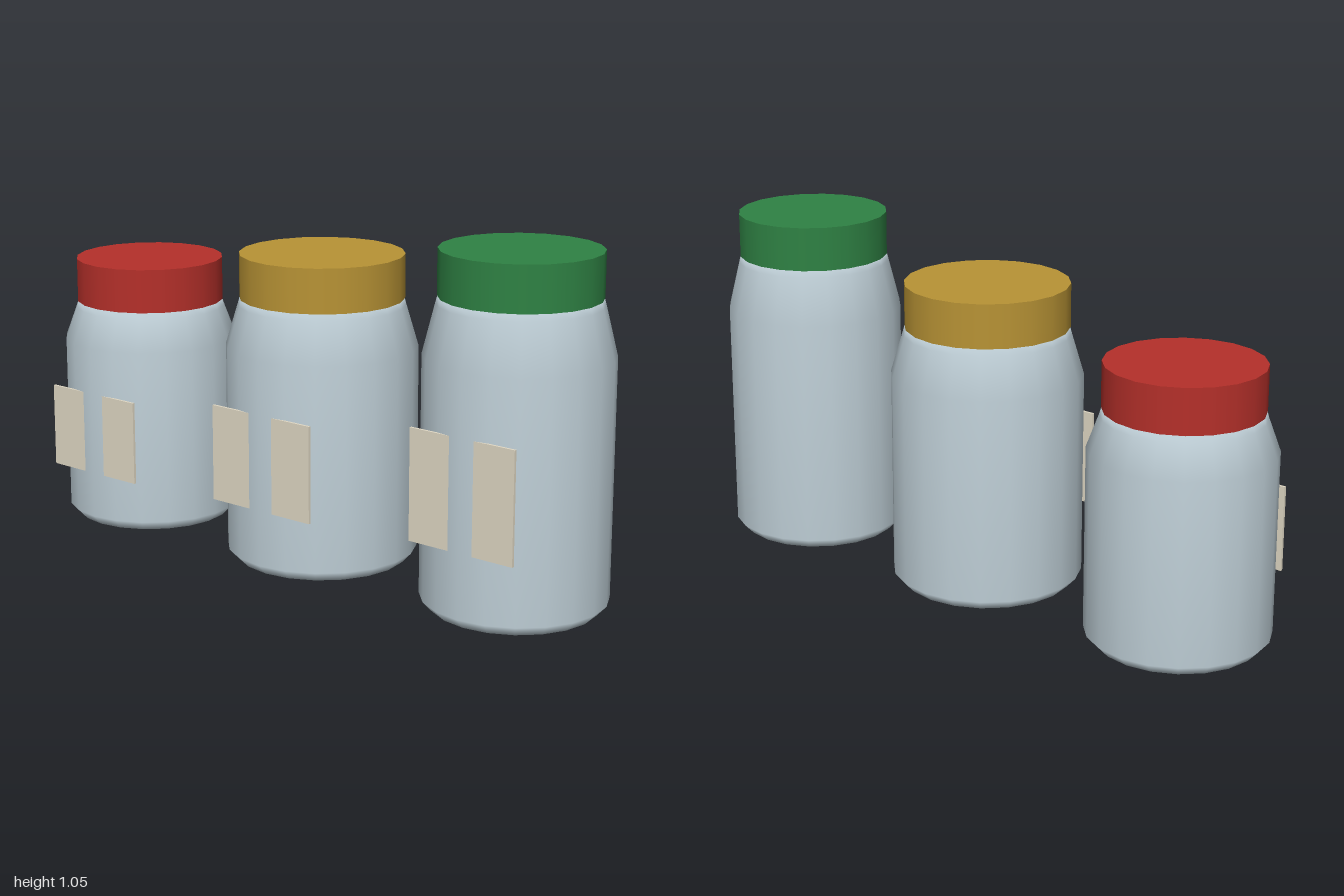
import * as THREE from 'three';

const SIDES = 20;

const glass = new THREE.MeshStandardMaterial({ color: 0xc0d0d8 });
const paper = new THREE.MeshStandardMaterial({ color: 0xe0d8c4 });

function part(name, geometry, material, y = 0, z = 0) {
  const mesh = new THREE.Mesh(geometry, material);
  mesh.name = name;
  mesh.position.set(0, y, z);
  return mesh;
}

// One jar: body of revolution, capped by a lid, with a flat label set into the front
function makeJar({ name, x, radius, lidRadius, shoulder, neck, top, labelBottom, labelTop, lidColor }) {
  const jar = new THREE.Group();
  jar.name = name;
  jar.position.x = x;

  // Body: chamfered foot, straight wall, sloping shoulder, short neck
  const profile = [
    [0, 0],
    [radius - 0.03, 0],
    [radius, 0.032],
    [radius, shoulder],
    [lidRadius + 0.004, neck - 0.02],
    [lidRadius - 0.003, neck + 0.005],
    [0, neck + 0.005],
  ].map(([r, y]) => new THREE.Vector2(r, y));
  jar.add(part('body', new THREE.LatheGeometry(profile, SIDES), glass));

  // Lid
  const lidHeight = top - neck;
  jar.add(part(
    'lid',
    new THREE.CylinderGeometry(lidRadius, lidRadius, lidHeight, SIDES),
    new THREE.MeshStandardMaterial({ color: lidColor }),
    neck + lidHeight / 2,
  ));

  // Label: the curved wall shows through along its middle
  const thickness = 0.008;
  jar.add(part(
    'label',
    new THREE.BoxGeometry(radius * 1.3, labelTop - labelBottom, thickness),
    paper,
    (labelTop + labelBottom) / 2,
    radius * 0.976 - thickness / 2,
  ));
  return jar;
}

export function createModel() {
  const model = new THREE.Group();
  model.name = 'jars';
  const jars = [
    { name: 'shortJar', x: -0.725, radius: 0.275, lidRadius: 0.234, shoulder: 0.585, neck: 0.705, top: 0.842,
      labelBottom: 0.175, labelTop: 0.437, lidColor: 0xb5302a },
    { name: 'middleJar', x: 0, radius: 0.292, lidRadius: 0.25, shoulder: 0.663, neck: 0.81, top: 0.945,
      labelBottom: 0.202, labelTop: 0.498, lidColor: 0xb89335 },
    { name: 'tallJar', x: 0.725, radius: 0.275, lidRadius: 0.234, shoulder: 0.743, neck: 0.912, top: 1.048,
      labelBottom: 0.225, labelTop: 0.558, lidColor: 0x2f8244 },
  ];
  for (const spec of jars) model.add(makeJar(spec));
  return model;
}
